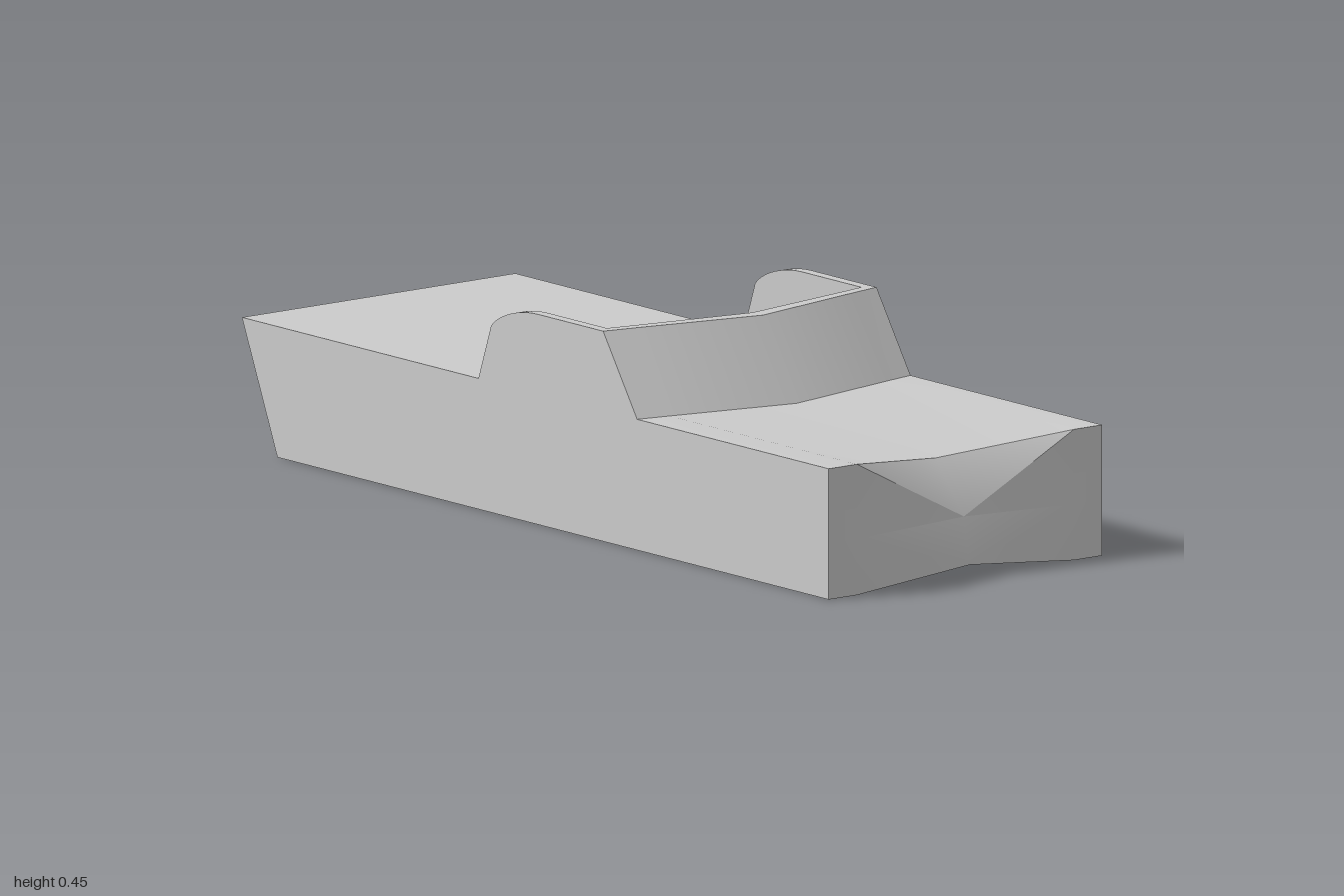
import * as THREE from 'three';
import { toCreasedNormals } from 'three/addons/utils/BufferGeometryUtils.js';

const HALF = 0.365, DECK = 0.28, TOP = 0.45, WALL = 0.025;
const material = new THREE.MeshStandardMaterial({ color: 0xcccccc });

// Skins a row of closed sections (corners as [x, y, z], left to right) and caps both ends.
function loft(sections, crease) {
  const out = [];
  const tri = (...corners) => corners.forEach((c) => out.push(...c));
  for (let s = 0; s < sections.length - 1; s++) {
    const p = sections[s], q = sections[s + 1], n = p.length;
    for (let i = 0; i < n; i++) {
      const j = (i + 1) % n;
      // mirror the diagonals about the centreline
      if (q[0][0] <= 0) { tri(p[i], p[j], q[j]); tri(p[i], q[j], q[i]); }
      else { tri(p[i], p[j], q[i]); tri(p[j], q[j], q[i]); }
    }
  }
  const first = sections[0], last = sections[sections.length - 1];
  for (let i = 1; i < first.length - 1; i++) {
    tri(first[0], first[i + 1], first[i]);
    tri(last[0], last[i], last[i + 1]);
  }
  const geometry = new THREE.BufferGeometry();
  geometry.setAttribute('position', new THREE.Float32BufferAttribute(out, 3));
  return toCreasedNormals(geometry, crease);
}

function addMesh(group, name, geometry) {
  const mesh = new THREE.Mesh(geometry, material);
  mesh.name = name;
  group.add(mesh);
  return mesh;
}

export function createModel() {
  const group = new THREE.Group();
  group.name = 'openTopBody';

  // Stations across the width: x, windscreen foot, bow [z, y] at top, middle and bottom
  const side = { foot: 0.337, bow: [[0.985, DECK], [0.985, 0.12], [0.985, 0]] };
  const shoulder = { foot: 0.352, bow: [[0.985, DECK], [0.985, 0.12], [0.985, 0]] };
  const centre = { foot: 0.415, bow: [[0.885, 0.24], [0.98, 0.13], [1.0, 0.03]] };
  const stations = [[-HALF, side], [-0.29, shoulder], [0, centre], [0.29, shoulder], [HALF, side]];

  // Hull: raked stern, flat deck, notched bow
  const hull = stations.map(([x, s]) => [
    [x, 0, -0.88],
    [x, DECK, -1],
    [x, DECK, s.foot],
    ...s.bow.map(([z, y]) => [x, y, z]),
    [x, 0, 0.34],
  ]);
  addMesh(group, 'hull', loft(hull, 0.7));

  // Windscreen wall: raked outside, upright inside, bent forward at the centre
  const screen = stations.map(([x, s]) => {
    const inner = s.foot - 0.115 - (x === 0 ? 0.035 : WALL);
    return [
      [x, DECK, inner],
      [x, TOP, inner],
      [x, TOP, s.foot - 0.115],
      [x, DECK, s.foot],
    ];
  });
  addMesh(group, 'windscreenWall', loft(screen, 0.4));

  // Side walls of the open cabin, rounded down at the rear
  const profile = new THREE.Shape();
  profile.moveTo(-0.2, DECK);
  profile.lineTo(side.foot, DECK);
  profile.lineTo(side.foot - 0.115, TOP);
  profile.lineTo(0, TOP);
  profile.bezierCurveTo(-0.06, TOP, -0.13, 0.43, -0.157, 0.4);
  profile.closePath();
  const panel = toCreasedNormals(
    new THREE.ExtrudeGeometry(profile, { depth: WALL, bevelEnabled: false, curveSegments: 10 })
      .rotateY(-Math.PI / 2), 0.5);
  addMesh(group, 'leftCabinWall', panel).position.x = HALF;
  addMesh(group, 'rightCabinWall', panel).position.x = -HALF + WALL;

  return group;
}
